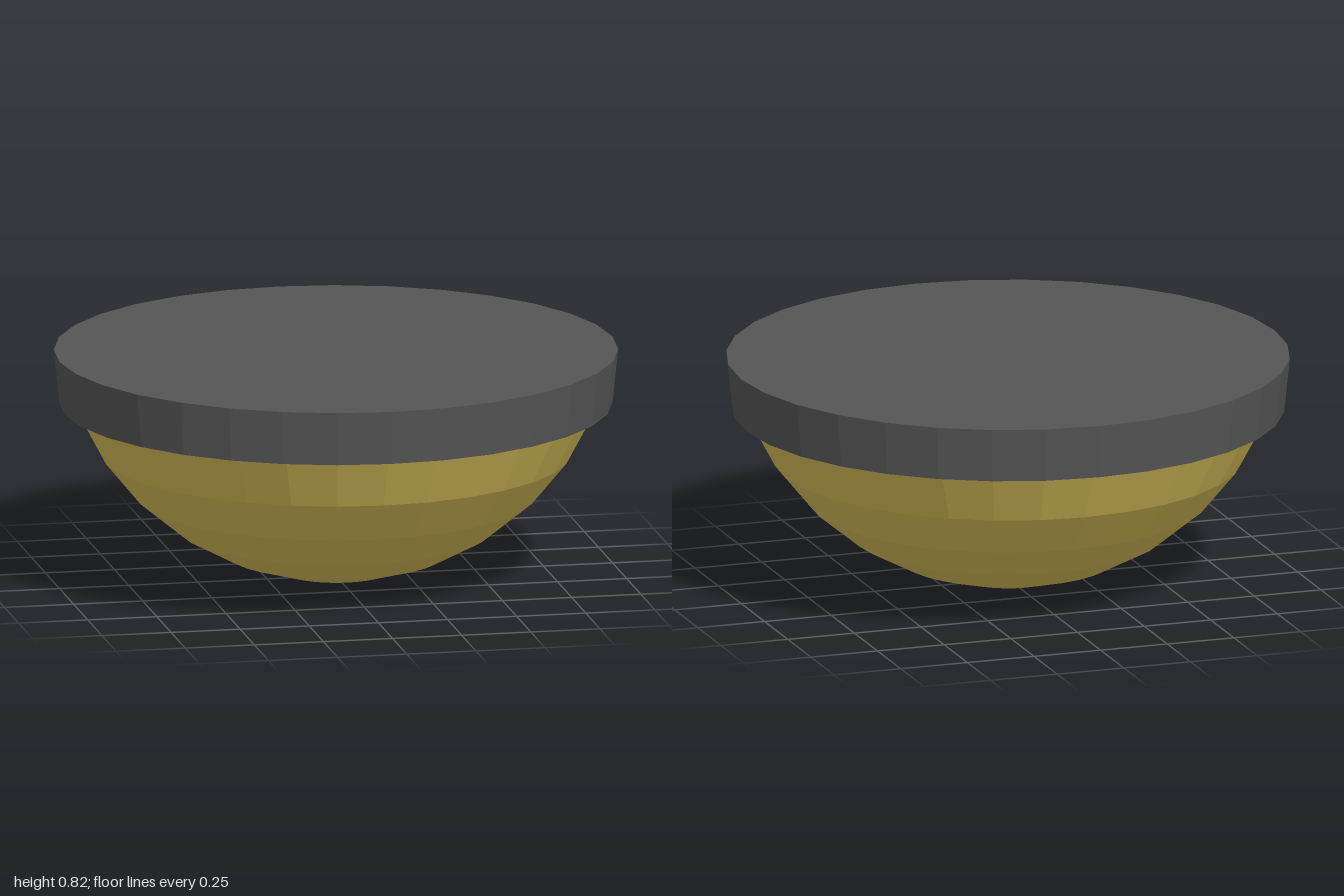
import * as THREE from 'three';

const SIDES = 32;
const STEP = Math.PI / 16; // angle between rings of the bowl

// Faceted solid of revolution; profile runs from bottom to top
function lathe(name, profile, color) {
  const points = profile.map(([r, y]) => new THREE.Vector2(r, y));
  const material = new THREE.MeshStandardMaterial({ color, flatShading: true });
  const mesh = new THREE.Mesh(new THREE.LatheGeometry(points, SIDES), material);
  mesh.name = name;
  return mesh;
}

export function createModel() {
  const model = new THREE.Group();
  model.name = 'bowlWithLid';

  // Bowl: lower part of a unit sphere, six rings up from the pole
  const bowl = [];
  for (let i = 0; i <= 6; i++) bowl.push([Math.sin(i * STEP), 1 - Math.cos(i * STEP)]);
  model.add(lathe('bowl', bowl, 0xd9c05a));

  // Lid: slanted lip, slightly flared wall and flat top
  const [lipRadius, lipY] = bowl[6];
  model.add(lathe('lid', [[lipRadius, lipY], [0.98, 0.63], [1, 0.824], [0, 0.824]], 0x555555));

  return model;
}
